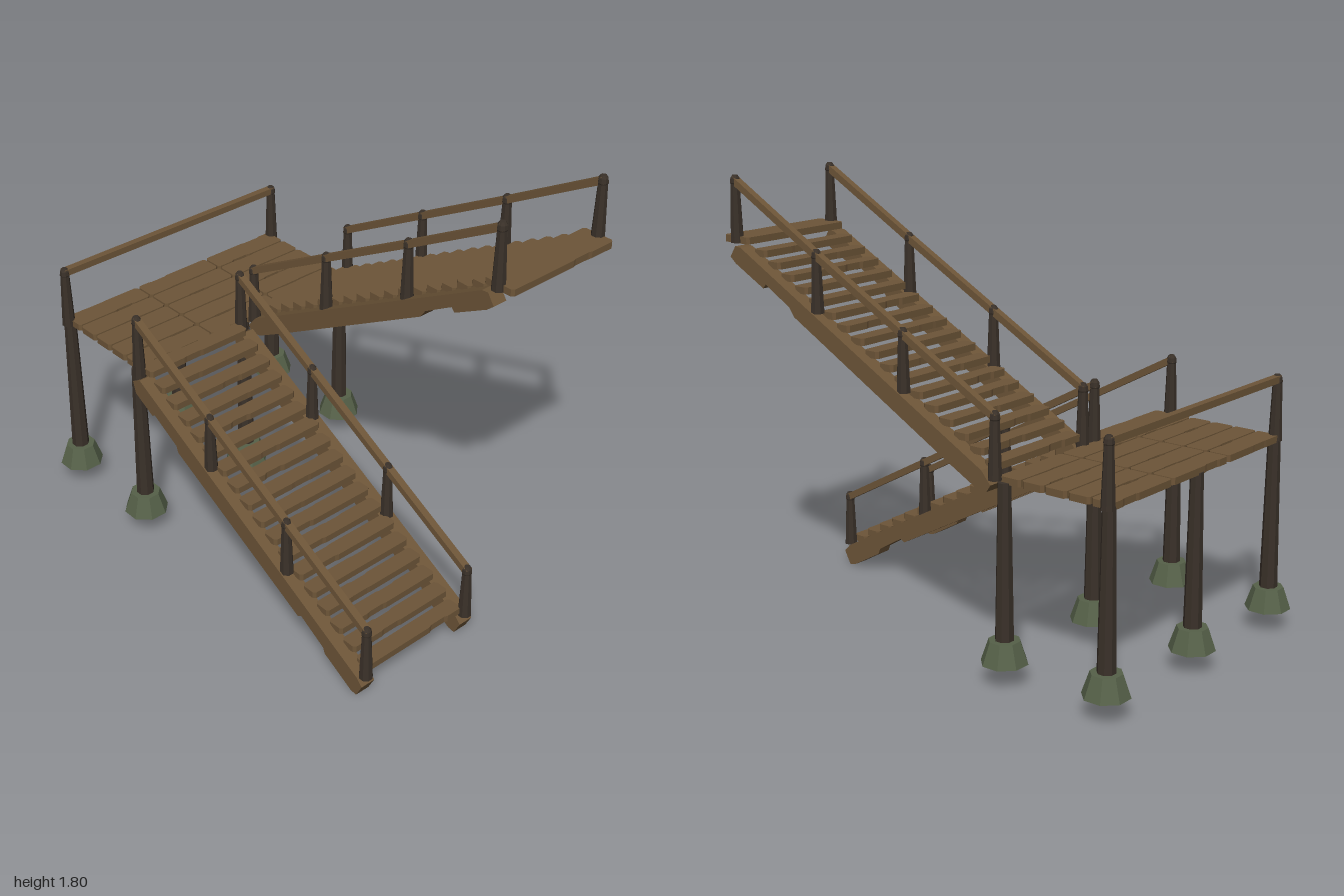
import * as THREE from 'three';

const mat = (name, color) => new THREE.MeshStandardMaterial({ name, color, flatShading: true });

export function createModel() {
  const root = new THREE.Group();
  root.name = 'twoFlightStaircase';
  const wood = mat('brown wood', 0x6d5538);
  const darkWood = mat('dark post wood', 0x3a3129);
  const stone = mat('mossy stone', 0x566149);

  let seed = 7;
  const rnd = () => (seed = (seed * 16807) % 2147483647) / 2147483647;

  function add(parent, name, geometry, material, x, y, z) {
    const m = new THREE.Mesh(geometry, material);
    m.name = name;
    m.position.set(x, y, z);
    parent.add(m);
    return m;
  }

  function group(name) {
    const g = new THREE.Group();
    g.name = name;
    root.add(g);
    return g;
  }

  // Worn board: chamfered corners and slightly chipped long edges
  function board(w, d, t) {
    const a = w / 2, b = d / 2, c = 0.01, chip = () => rnd() * 0.006;
    const pts = [];
    for (const s of [-1, 1]) {
      const k = (rnd() - 0.5) * w * 0.5, e = chip();
      pts.push([s * a, s * (c - b)], [s * a, s * (b - c)], [s * (a - c), s * b],
        [s * (k + 0.05), s * b], [s * (k + 0.035), s * (b - e)],
        [s * (k - 0.035), s * (b - e)], [s * (k - 0.05), s * b], [s * (c - a), s * b]);
    }
    const shape = new THREE.Shape(pts.map(p => new THREE.Vector2(...p)));
    return new THREE.ExtrudeGeometry(shape, { depth: t, bevelEnabled: false })
      .translate(0, 0, -t / 2).rotateX(-Math.PI / 2);
  }

  // Side beam cut from a (z, y) outline
  function stringer(outline, width) {
    const shape = new THREE.Shape(outline.map(p => new THREE.Vector2(...p)));
    return new THREE.ExtrudeGeometry(shape, { depth: width, bevelEnabled: false })
      .translate(0, 0, -width / 2).rotateY(-Math.PI / 2);
  }

  // Tapered eight-sided railing post with a chamfered top
  const postGeo = h => new THREE.LatheGeometry(
    [[0, 0], [0.028, 0], [0.027, 0.02], [0.019, h - 0.035], [0.021, h - 0.03], [0.019, h - 0.012], [0.011, h], [0, h]]
      .map(p => new THREE.Vector2(...p)), 8).rotateY(Math.PI / 8);

  // Rail between two points
  function rail(parent, a, b) {
    const d = new THREE.Vector3().subVectors(b, a);
    const m = add(parent, 'handrail', new THREE.BoxGeometry(0.03, 0.028, d.length() + 0.015), wood, 0, 0, 0);
    m.position.copy(a).add(b).multiplyScalar(0.5);
    m.quaternion.setFromUnitVectors(new THREE.Vector3(0, 0, 1), d.normalize());
    if (Math.abs(d.x) > 0.9) m.rotation.set(0, Math.PI / 2, 0);
  }

  // Flight: stringers, treads, posts and rails
  function flight(name, cx, outline, treadY, rise, count, treadZ, tops, bases) {
    const g = group(name);
    const postZ = [0.93, 0.483, 0.036, -0.41];
    for (const s of [-1, 1]) {
      add(g, 'stringer', stringer(outline, 0.065), wood, cx + s * 0.263, 0, 0);
      const x = cx + s * 0.265;
      postZ.forEach((z, i) => {
        add(g, 'railingPost', postGeo(tops[i] - bases[i]), darkWood, x, bases[i], z);
        if (i) rail(g, new THREE.Vector3(x, tops[i - 1] - 0.021, postZ[i - 1]),
          new THREE.Vector3(x, tops[i] - 0.021, z));
      });
    }
    for (let i = 0; i < count; i++) {
      add(g, 'tread', board(0.5, 0.071, 0.028), wood, cx, treadY + rise * i, treadZ - 0.075 * i);
    }
    return g;
  }

  flight('lowerFlight', -0.305, [
    [0.94, 0.06], [0.91, 0.003], [0.88, 0.008], [0.735, 0.09], [0.725, 0.115], [0.6, 0.19], [0.58, 0.178],
    [0, 0.49], [-0.135, 0.562], [-0.145, 0.59], [-0.28, 0.668], [-0.295, 0.657], [-0.4, 0.715],
    [-0.415, 0.765], [-0.37, 0.79], [0.91, 0.092],
  ], 0.115, 0.0405, 18, 0.89, [0.33, 0.573, 0.817, 1.06], [0.09, 0.32, 0.565, 0.77]);

  const upper = flight('upperFlight', 0.3, [
    [0.94, 1.475], [0.91, 1.52], [0.88, 1.517], [0.73, 1.435], [-0.37, 0.835], [-0.413, 0.785],
    [-0.395, 0.757], [-0.34, 0.765], [-0.19, 0.845], [0.585, 1.275], [0.61, 1.31], [0.74, 1.385],
    [0.755, 1.368], [0.91, 1.45],
  ], 1.495, -0.0405, 17, 0.82, [1.8, 1.55, 1.305, 1.06], [1.53, 1.3, 1.055, 0.8]);
  add(upper, 'topLandingBoard', board(0.54, 0.14, 0.028), wood, 0.302, 1.542, 0.93);

  // Landing deck: five rows of three boards
  const deck = group('landing');
  for (let r = 0; r < 5; r++) {
    for (let c = -1; c <= 1; c++) {
      add(deck, 'deckBoard', board(0.366, 0.096, 0.028), wood, c * 0.374, 0.802, -0.47 - r * 0.104);
    }
  }

  // Pillars on stone footings
  const footGeo = new THREE.CylinderGeometry(0.062, 0.093, 0.09, 8).rotateY(Math.PI / 8);
  const pillarGeo = new THREE.CylinderGeometry(0.026, 0.037, 0.62, 8).rotateY(Math.PI / 8);
  for (const x of [-0.553, 0, 0.553]) {
    for (const z of [-0.445, -0.915]) {
      add(deck, 'footing', footGeo, stone, x, 0.135, z);
      add(deck, 'pillar', pillarGeo, darkWood, x, 0.485, z);
    }
  }

  // Back railing
  for (const x of [-0.56, 0.56]) add(deck, 'backPost', postGeo(0.27), darkWood, x, 0.79, -0.915);
  rail(deck, new THREE.Vector3(-0.56, 1.041, -0.915), new THREE.Vector3(0.56, 1.041, -0.915));

  return root;
}
